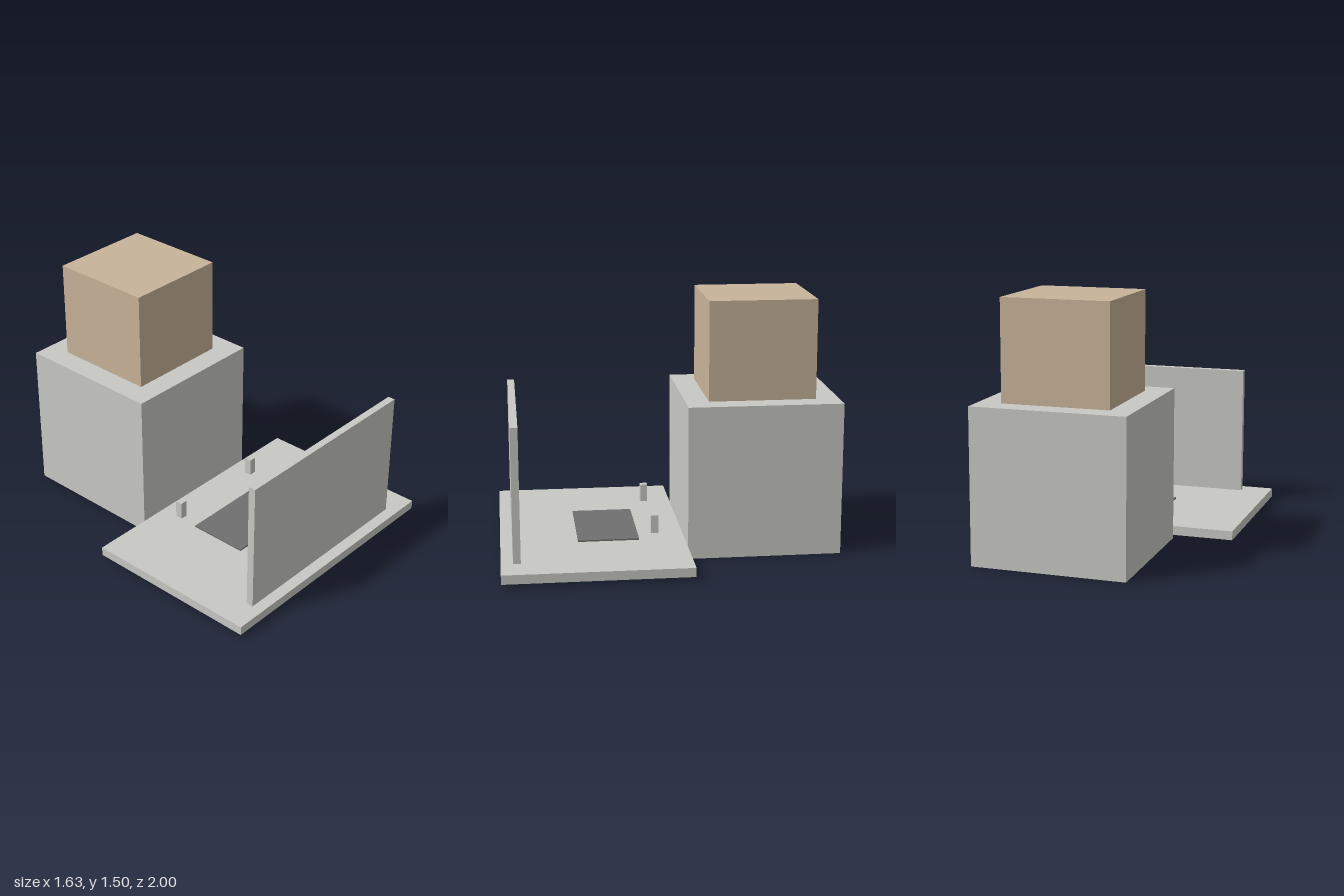
import * as THREE from 'three';

export function createModel() {
  const model = new THREE.Group();
  const material = (name, color) => {
    const m = new THREE.MeshStandardMaterial({ color });
    m.name = name;
    return m;
  };
  const grey = material('light grey', 0xc8c9c3);
  const tan = material('tan', 0xc8b399);
  const dark = material('dark grey', 0x707070);

  // Box given by its [min, max] extent on each axis
  function block(name, mat, [x0, x1], [y0, y1], [z0, z1]) {
    const mesh = new THREE.Mesh(new THREE.BoxGeometry(x1 - x0, y1 - y0, z1 - z0), mat);
    mesh.position.set((x0 + x1) / 2, (y0 + y1) / 2, (z0 + z1) / 2);
    mesh.name = name;
    model.add(mesh);
  }

  // Rear body with the head block on top
  block('body', grey, [-0.455, 0.455], [0, 0.91], [-1, -0.091]);
  block('head', tan, [-0.317, 0.317], [0.91, 1.5], [-0.862, -0.228]);

  // Flat base with upright panel and dark pad
  block('base', grey, [-0.817, 0.817], [0.02, 0.074], [-0.091, 1]);
  block('uprightPanel', grey, [-0.635, 0.635], [0.074, 0.866], [0.886, 0.93]);
  block('pad', dark, [-0.292, 0.292], [0.074, 0.083], [0.18, 0.543]);

  // Pair of small floating pegs
  for (const [name, x] of [['rightPeg', -0.32], ['leftPeg', 0.32]]) {
    block(name, grey, [x - 0.022, x + 0.022], [0.13, 0.238], [0.07, 0.114]);
  }
  return model;
}
